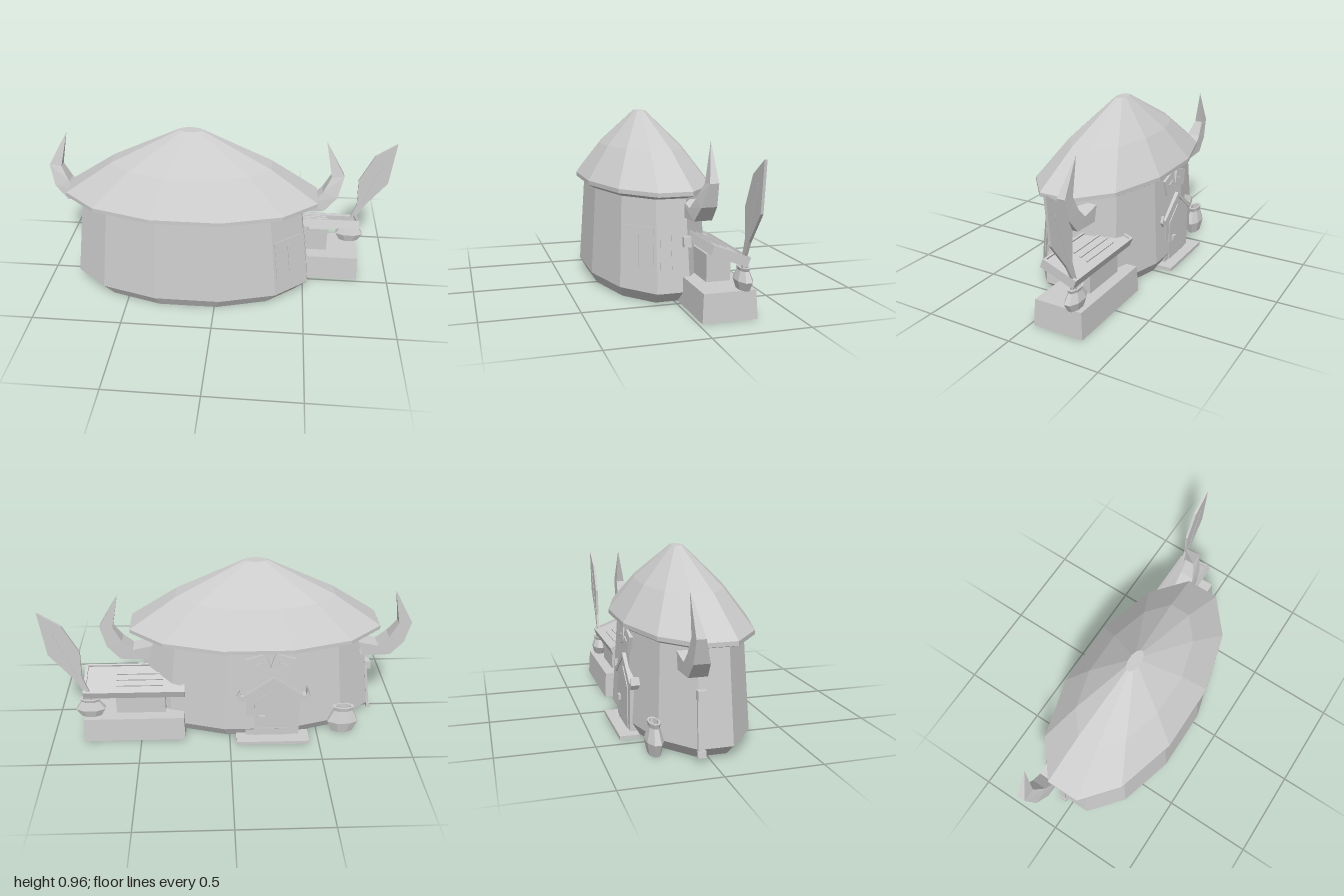
import * as THREE from 'three';

const stone = new THREE.MeshStandardMaterial({ color: 0xcccccc, flatShading: true, side: THREE.DoubleSide });
stone.name = 'plain grey';

const CX = -0.15, CZ = 0.024, SQUASH = 0.485; // hut centre and oval depth ratio

function add(parent, name, geometry, x = 0, y = 0, z = 0) {
  const mesh = new THREE.Mesh(geometry, stone);
  mesh.name = name;
  mesh.position.set(x, y, z);
  parent.add(mesh);
  return mesh;
}

function box(parent, name, x0, x1, y0, y1, z0, z1) {
  return add(parent, name, new THREE.BoxGeometry(x1 - x0, y1 - y0, z1 - z0),
    (x0 + x1) / 2, (y0 + y1) / 2, (z0 + z1) / 2);
}

// Hollow box without a bottom, its top drawn in by inset
function openBox(parent, name, x0, x1, y0, y1, z0, z1, inset) {
  const mesh = box(parent, name, x0, x1, y0, y1, z0, z1);
  const geometry = mesh.geometry, p = geometry.attributes.position;
  const faces = Array.from(geometry.index.array);
  faces.splice(18, 6);
  geometry.setIndex(faces);
  geometry.clearGroups();
  for (let i = 0; i < p.count; i++) {
    if (p.getY(i) > 0) {
      p.setX(i, p.getX(i) - Math.sign(p.getX(i)) * inset);
      p.setZ(i, p.getZ(i) - Math.sign(p.getZ(i)) * inset);
    }
  }
  return mesh;
}

// Faceted oval body from a [radius, y] profile
function oval(profile, sides) {
  const geometry = new THREE.LatheGeometry(profile.map(p => new THREE.Vector2(...p)), sides, Math.PI / sides);
  return geometry.scale(1, 1, SQUASH);
}

function extrude(points, depth) {
  const shape = new THREE.Shape(points.map(p => new THREE.Vector2(...p)));
  return new THREE.ExtrudeGeometry(shape, { depth, bevelEnabled: false });
}

// Point on a wall facet; s runs across it, y up, out away from it
function wallPoint(deg, s, y, out) {
  const r = THREE.MathUtils.lerp(0.697, 0.633, (y - 0.065) / 0.485);
  const a = THREE.MathUtils.degToRad(deg - 15), b = THREE.MathUtils.degToRad(deg + 15);
  const n = THREE.MathUtils.degToRad(deg);
  const normal = new THREE.Vector3(Math.cos(n) * SQUASH, 0, Math.sin(n)).normalize();
  return new THREE.Vector3(
    CX + r * THREE.MathUtils.lerp(Math.cos(a), Math.cos(b), s), y,
    CZ + r * SQUASH * THREE.MathUtils.lerp(Math.sin(a), Math.sin(b), s)).addScaledVector(normal, out);
}

// Box bent to lie on a wall facet
function facetPlate(parent, name, deg, s0, s1, y0, y1, out) {
  const geometry = new THREE.BoxGeometry(1, 1, 1);
  const p = geometry.attributes.position;
  for (let i = 0; i < p.count; i++) {
    const v = wallPoint(deg, THREE.MathUtils.lerp(s1, s0, p.getX(i) + 0.5),
      THREE.MathUtils.lerp(y0, y1, p.getY(i) + 0.5), p.getZ(i) > 0 ? out : -0.004);
    p.setXYZ(i, v.x, v.y, v.z);
  }
  return add(parent, name, geometry);
}

// Four-sided horn from sections: [outer x, outer y, inner x, inner y, back z, front z]
function hornGeometry(sections) {
  const positions = [], index = [];
  sections.forEach(([ox, oy, ix, iy, back, front], row) => {
    positions.push(ox, oy, back, ox, oy, front, ix, iy, front, ix, iy, back);
    for (let k = 0; row && k < 4; k++) {
      const n = (k + 1) % 4, b = row * 4 - 4, c = row * 4;
      index.push(b + k, c + k, b + n, b + n, c + k, c + n);
    }
  });
  const geometry = new THREE.BufferGeometry();
  geometry.setAttribute('position', new THREE.Float32BufferAttribute(positions, 3));
  geometry.setIndex(index);
  geometry.computeVertexNormals();
  return geometry;
}

function pot(parent, name, x, y, z, height, width = 1) {
  const profile = [[0, 0], [0.06, 0], [0.087, 0.42], [0.052, 0.85], [0.06, 1], [0.042, 1], [0.04, 0.8], [0, 0.8]];
  return add(parent, name, oval(profile.map(([r, t]) => [r * width, t * height]), 8), x, y, z);
}

export function createModel() {
  const model = new THREE.Group();
  model.name = 'hut';

  // Hollow walls, open below, and the roof
  add(model, 'walls', oval([[0.622, 0], [0.697, 0.065], [0.633, 0.55]], 12), CX, 0, CZ);
  add(model, 'roof', oval([[0.633, 0.545], [0.645, 0.545], [0.724, 0.568], [0.724, 0.59],
    [0.455, 0.77], [0.066, 0.962], [0, 0.962]], 12), CX, 0, CZ);

  // Roof horns, mirrored about the hut
  const sections = [
    [0.44, 0.443, 0.42, 0.53, -0.146, -0.045],
    [0.60, 0.450, 0.53, 0.505, -0.146, -0.052],
    [0.67, 0.53, 0.585, 0.56, -0.145, -0.065],
    [0.70, 0.65, 0.63, 0.645, -0.142, -0.095],
    [0.59, 0.845, 0.59, 0.845, -0.138, -0.138]];
  for (const side of [1, -1]) {
    const placed = sections.map(([ox, oy, ix, iy, back, front]) => side > 0
      ? [ox, oy, ix, iy, back, front] : [2 * CX - ox, oy, 2 * CX - ix, iy, back, front]);
    add(model, 'roofHorn', hornGeometry(placed));
  }

  // Side shutters with slots
  for (const [deg, s0, s1] of [[0, 0.13, 0.89], [30, 0.08, 0.93]]) {
    facetPlate(model, 'shutter', deg, s0, s1, 0.16, 0.4, 0.003);
    facetPlate(model, 'shutterSlot', deg, 0.48, 0.54, 0.185, 0.365, 0.006);
  }
  facetPlate(model, 'rightBracket', 0, -0.06, 0.18, 0.3, 0.352, 0.03);
  facetPlate(model, 'leftBracket', 180, 0.8, 1.06, 0.305, 0.352, 0.03);
  facetPlate(model, 'leftPost', 180, 0.86, 1.04, 0.03, 0.305, 0.01);
  facetPlate(model, 'leftFoot', 180, 0.82, 1.06, 0.03, 0.06, 0.016);

  // Back door with gable, knob and step
  const door = new THREE.Group();
  door.name = 'backDoor';
  door.position.set(-0.24, 0, 0);
  model.add(door);
  const gable = (w, y0, eave, peak) => [[-w, y0], [w, y0], [w, eave], [0, peak], [-w, eave]];
  add(door, 'doorFrame', extrude(gable(0.15, 0, 0.27, 0.385), 0.05), 0, 0, -0.297);
  add(door, 'doorPanel', extrude(gable(0.105, 0.02, 0.25, 0.335), 0.006), 0, 0, -0.302);
  box(door, 'doorKnob', 0.045, 0.075, 0.13, 0.16, -0.316, -0.3);
  openBox(door, 'doorStep', -0.205, 0.205, 0, 0.02, -0.364, -0.26, 0);
  for (const side of [1, -1]) {
    const beam = [[0, 0.382], [0, 0.407], [0.165, 0.287], [0.182, 0.29], [0.187, 0.325],
      [0.205, 0.285], [0.187, 0.258], [0.165, 0.258]];
    add(door, 'gableBeam', extrude(beam.map(([x, y]) => [x * side, y]), 0.055), 0, 0, -0.303);
  }

  // Small tilted plaques above the door
  for (const side of [1, -1]) {
    const plaque = new THREE.Group();
    plaque.name = 'plaque';
    plaque.position.set(-0.22 + side * 0.067, 0.488, -0.28);
    plaque.rotation.set(0.06, 0, side * -0.3);
    model.add(plaque);
    add(plaque, 'plaqueBoard', new THREE.BoxGeometry(0.115, 0.095, 0.02));
    add(plaque, 'plaqueBar', new THREE.BoxGeometry(0.05, 0.012, 0.008), 0, 0, -0.012);
  }

  // Side bench: hollow base, pillar and tilted tray
  openBox(model, 'benchBase', 0.25, 0.822, 0, 0.145, -0.304, -0.02, 0.008);
  box(model, 'benchPillar', 0.36, 0.635, 0.145, 0.288, -0.235, -0.107);
  const tray = new THREE.Group();
  tray.name = 'tray';
  tray.position.set(0.53, 0.316, -0.165);
  tray.rotation.x = -0.36;
  model.add(tray);
  box(tray, 'trayBoard', -0.27, 0.27, 0.004, 0.014, -0.095, 0.095);
  for (const side of [1, -1]) {
    box(tray, 'trayEndRim', side * 0.272 - 0.008, side * 0.272 + 0.008, -0.025, 0.025, -0.1, 0.1);
    box(tray, 'traySideRim', -0.28, 0.28, -0.025, 0.025, side * 0.095 - 0.005, side * 0.095 + 0.005);
  }
  for (const z of [-0.045, -0.005, 0.035]) box(tray, 'traySlat', -0.16, 0.1, 0.012, 0.022, z - 0.005, z + 0.005);

  // Pots, and the leaf standing in the bench pot
  pot(model, 'benchPot', 0.775, 0.145, -0.242, 0.11);
  pot(model, 'backPot', -0.647, 0, -0.238, 0.165, 1.08);
  add(model, 'leaf', extrude([[0.767, 0.2], [0.79, 0.2], [0.79, 0.278], [0.85, 0.39], [0.97, 0.545],
    [0.997, 0.797], [0.88, 0.717], [0.8, 0.556], [0.805, 0.396], [0.767, 0.278]], 0.014), 0, 0, -0.248);
  const rib = add(model, 'leafRib', new THREE.BoxGeometry(0.008, 0.3, 0.018), 0.885, 0.54, -0.241);
  rib.rotation.z = -0.36;

  return model;
}
